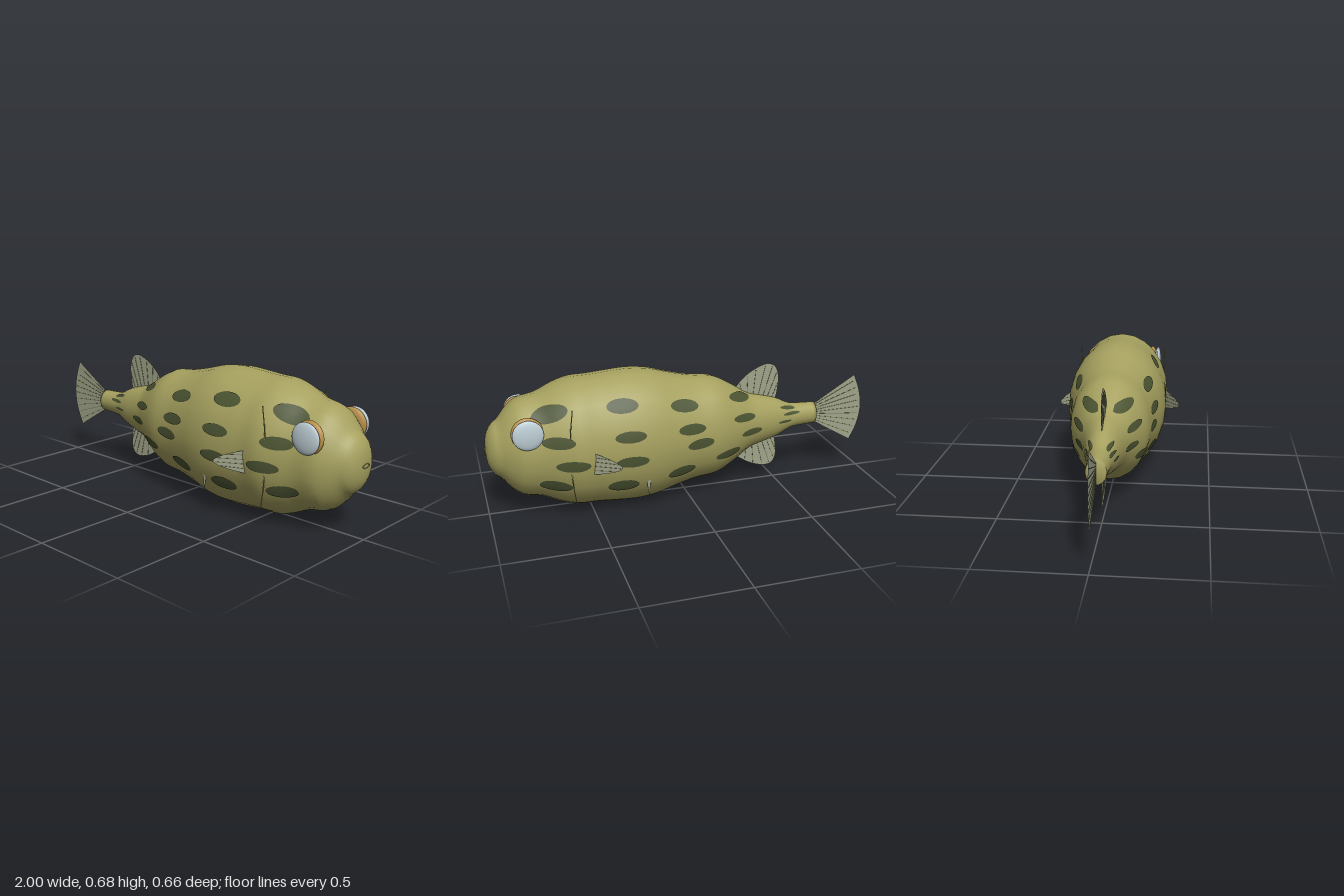
import * as THREE from 'three';

const CY = 0.343; // height of the body axis

// Body stations: x, half height, half width
const PROFILE = [
  [-0.72, 0.058, 0.047], [-0.66, 0.06, 0.05], [-0.58, 0.068, 0.058], [-0.5, 0.105, 0.075],
  [-0.42, 0.128, 0.092], [-0.34, 0.15, 0.115], [-0.25, 0.208, 0.155], [-0.15, 0.26, 0.193],
  [-0.03, 0.276, 0.207], [0.08, 0.302, 0.228], [0.18, 0.33, 0.25], [0.28, 0.341, 0.26],
  [0.4, 0.335, 0.256], [0.48, 0.329, 0.252], [0.57, 0.325, 0.256], [0.65, 0.303, 0.235],
  [0.74, 0.263, 0.202], [0.83, 0.243, 0.186], [0.88, 0.205, 0.158], [0.925, 0.15, 0.122],
  [0.955, 0.126, 0.1], [0.98, 0.085, 0.066], [0.99, 0.04, 0.032], [0.992, 0, 0],
];
const stations = new THREE.CatmullRomCurve3(PROFILE.map(p => new THREE.Vector3(...p))).getPoints(92);

// Half height and half width of the body at x
function sectionAt(x) {
  let i = 1;
  while (i < stations.length - 1 && stations[i].x < x) i++;
  const a = stations[i - 1], b = stations[i];
  const t = THREE.MathUtils.clamp((x - a.x) / (b.x - a.x || 1), 0, 1);
  return { h: a.y + (b.y - a.y) * t, w: a.z + (b.z - a.z) * t };
}

function makeGeometry(pos, idx) {
  const g = new THREE.BufferGeometry();
  g.setAttribute('position', new THREE.Float32BufferAttribute(pos, 3));
  g.setIndex(idx);
  g.computeVertexNormals();
  return g;
}

// Elliptical rings lofted along x, closed at the tail
function bodyGeometry() {
  const N = 24, pos = [], idx = [];
  for (const s of stations) {
    for (let j = 0; j < N; j++) {
      const a = (j / N) * Math.PI * 2;
      pos.push(s.x, CY + s.y * Math.cos(a), s.z * Math.sin(a));
    }
  }
  for (let i = 0; i < stations.length - 1; i++) {
    for (let j = 0; j < N; j++) {
      const a = i * N + j, b = i * N + (j + 1) % N;
      idx.push(a, b, a + N, b, b + N, a + N);
    }
  }
  const c = pos.length / 3;
  pos.push(-0.72, CY, 0);
  for (let j = 0; j < N; j++) idx.push(c, (j + 1) % N, j);
  return makeGeometry(pos, idx);
}

// Oval patch hugging the flank on the +z side
function spotGeometry(cx, cy, rx, ry, tilt) {
  const R = 4, N = 22, pos = [], idx = [];
  const add = (dx, dy) => {
    const x = cx + dx, { h, w } = sectionAt(x);
    const y = THREE.MathUtils.clamp(cy + dy + dx * tilt - CY, -0.96 * h, 0.96 * h);
    const z = w * Math.sqrt(1 - (y / h) ** 2);
    const n = new THREE.Vector2(y / h ** 2, z / w ** 2).setLength(0.003);
    pos.push(x, CY + y + n.x, z + n.y);
  };
  add(0, 0);
  for (let r = 1; r <= R; r++) {
    for (let j = 0; j < N; j++) {
      const a = (j / N) * Math.PI * 2;
      add(rx * r / R * Math.cos(a), ry * r / R * Math.sin(a));
    }
  }
  for (let j = 0; j < N; j++) {
    const k = (j + 1) % N;
    idx.push(0, 1 + j, 1 + k);
    for (let r = 0; r < R - 1; r++) {
      const a = 1 + r * N + j, b = 1 + r * N + k;
      idx.push(a, a + N, b + N, a, b + N, b);
    }
  }
  return makeGeometry(pos, idx);
}

// x, y, half length, half height, slope
const SPOTS = [
  [-0.265, 0.505, 0.066, 0.02, 0.25], [0.05, 0.525, 0.073, 0.028, 0.14], [0.36, 0.565, 0.076, 0.031, 0],
  [0.7, 0.545, 0.085, 0.035, -0.25],
  [-0.28, 0.41, 0.068, 0.02, 0.12], [0.02, 0.413, 0.073, 0.027, 0.06], [0.335, 0.427, 0.076, 0.028, 0],
  [0.67, 0.424, 0.075, 0.029, 0],
  [-0.325, 0.325, 0.064, 0.018, 0], [-0.025, 0.332, 0.07, 0.027, -0.05], [0.33, 0.303, 0.08, 0.028, 0],
  [0.61, 0.309, 0.08, 0.028, 0],
  [-0.185, 0.243, 0.072, 0.024, -0.1], [0.07, 0.195, 0.074, 0.029, -0.1], [0.37, 0.172, 0.076, 0.032, 0],
  [0.69, 0.2, 0.075, 0.03, 0.12],
  [-0.55, 0.402, 0.045, 0.008, 0.2], [-0.57, 0.373, 0.05, 0.008, 0], [-0.53, 0.337, 0.04, 0.007, 0],
];

export function createModel() {
  const mat = (name, color, side = THREE.FrontSide) => {
    const m = new THREE.MeshStandardMaterial({ color, side });
    m.name = name;
    return m;
  };
  const skin = mat('olive skin', 0xa6a15f);
  const dark = mat('dark spots', 0x4b5432);
  const finMat = mat('pale fin', 0xa0a48a, THREE.DoubleSide);
  const rayMat = mat('fin ray', 0x73754f, THREE.DoubleSide);
  const gold = mat('golden iris', 0xb88f48);
  const glass = mat('pale eye', 0xbfd0d6);

  const root = new THREE.Group();
  root.name = 'fish';
  const add = (parent, name, geo, material) => {
    const m = new THREE.Mesh(geo, material);
    m.name = name;
    parent.add(m);
    return m;
  };

  add(root, 'body', bodyGeometry(), skin);

  // Flat fin with thin rays fanning from a root line to its rim
  const fin = (parent, name, rootPts, rimPts, rays) => {
    const g = new THREE.Group();
    g.name = name;
    parent.add(g);
    const rim = new THREE.SplineCurve(rimPts.map(p => new THREE.Vector2(...p)));
    const [a, b] = rootPts.map(p => new THREE.Vector2(...p));
    add(g, name + 'Web', new THREE.ShapeGeometry(new THREE.Shape([a, ...rim.getPoints(28), b])), finMat);
    for (let i = 1; i <= rays; i++) {
      const t = i / (rays + 1);
      const p = a.clone().lerp(b, t), q = rim.getPoint(t).lerp(p, 0.06);
      const ray = add(g, name + 'Ray', new THREE.BoxGeometry(p.distanceTo(q), 0.003, 0.003), rayMat);
      ray.position.set((p.x + q.x) / 2, (p.y + q.y) / 2, 0);
      ray.rotation.z = Math.atan2(q.y - p.y, q.x - p.x);
    }
    return g;
  };

  fin(root, 'tailFin', [[-0.71, 0.385], [-0.71, 0.3]],
    [[-0.95, 0.53], [-0.985, 0.44], [-1, 0.345], [-0.985, 0.25], [-0.945, 0.16]], 9);
  fin(root, 'dorsalFin', [[-0.49, 0.42], [-0.3, 0.45]],
    [[-0.505, 0.47], [-0.513, 0.56], [-0.49, 0.622], [-0.44, 0.638], [-0.37, 0.612], [-0.31, 0.568], [-0.27, 0.52]], 7);
  fin(root, 'analFin', [[-0.49, 0.265], [-0.3, 0.235]],
    [[-0.505, 0.215], [-0.513, 0.13], [-0.49, 0.082], [-0.44, 0.073], [-0.37, 0.095], [-0.31, 0.13], [-0.27, 0.165]], 7);

  // Lips
  const mouth = add(root, 'mouth', new THREE.TorusGeometry(0.024, 0.003, 8, 28), skin);
  mouth.rotation.y = Math.PI / 2;
  mouth.scale.y = 0.4;
  mouth.position.set(0.992, CY, 0);

  // Paired parts, mirrored across the middle
  for (const s of [1, -1]) {
    const side = new THREE.Group();
    side.name = s > 0 ? 'rightOfTravelSide' : 'leftOfTravelSide';
    side.scale.z = s;
    root.add(side);

    SPOTS.forEach(p => add(side, 'spot', spotGeometry(...p), dark));

    // Eye: golden iris with a pale lens outside
    const eye = new THREE.Group();
    eye.name = 'eye';
    eye.position.set(0.805, 0.468, 0);
    side.add(eye);
    const iris = add(eye, 'iris', new THREE.SphereGeometry(1, 32, 20), gold);
    iris.scale.set(0.076, 0.076, 0.026);
    iris.position.z = 0.164;
    iris.rotation.x = -0.08;
    const lens = add(eye, 'lens', new THREE.SphereGeometry(1, 32, 20), glass);
    lens.scale.set(0.073, 0.073, 0.018);
    lens.position.z = 0.19;

    // Gill line, showing above and below the cheek
    const gill = new THREE.CatmullRomCurve3([
      [0.603, 0.585], [0.617, 0.47], [0.622, 0.347], [0.617, 0.225], [0.603, 0.11],
    ].map(([x, y]) => new THREE.Vector3(x, y, 0.235)));
    add(side, 'gill', new THREE.TubeGeometry(gill, 24, 0.0025, 6), skin);

    // Pectoral fin, swept backwards
    const pectoral = fin(side, 'pectoralFin', [[0.01, 0.055], [0.01, -0.055]],
      [[-0.04, 0.045], [-0.095, 0.028], [-0.137, 0.004], [-0.12, -0.018], [-0.06, -0.04]], 4);
    pectoral.position.set(0.51, 0.312, 0.25);
    pectoral.rotation.y = 0.62;

    // Tiny pelvic fin
    const pelvic = add(side, 'pelvicFin', new THREE.ConeGeometry(0.012, 0.09, 8), finMat);
    pelvic.scale.z = 0.35;
    pelvic.rotation.x = Math.PI;
    pelvic.position.set(0.245, 0.14, 0.222);
  }
  return root;
}
